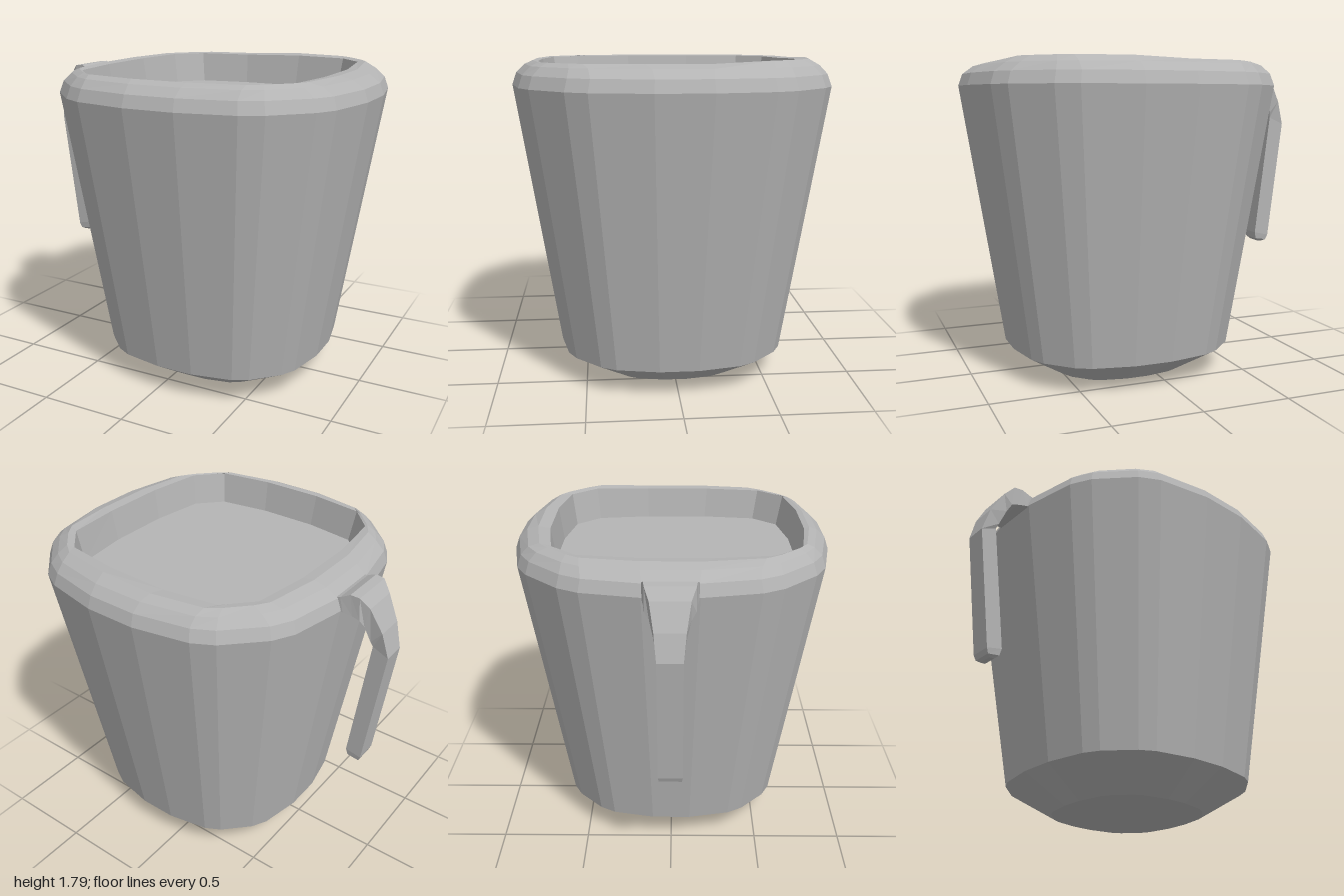
import * as THREE from 'three';

const grey = new THREE.MeshStandardMaterial({ color: 0xb4b4b4, flatShading: true });
grey.name = 'grey';

// Joins equal-sized rings of [x, y, z] points into a closed, faceted skin.
function loft(rings) {
  const n = rings[0].length, last = (rings.length - 1) * n, index = [];
  for (let i = 0; i < rings.length - 1; i++) {
    for (let j = 0; j < n; j++) {
      const a = i * n + j, b = i * n + (j + 1) % n;
      index.push(a, a + n, b, b, a + n, b + n);
    }
  }
  for (let k = 1; k < n - 1; k++) {
    index.push(0, k, k + 1, last, last + k + 1, last + k);
  }
  const indexed = new THREE.BufferGeometry();
  indexed.setAttribute('position', new THREE.Float32BufferAttribute(rings.flat(2), 3));
  indexed.setIndex(index);
  const geometry = indexed.toNonIndexed();
  geometry.computeVertexNormals();
  return geometry;
}

// One quarter of the rounded-square outline, outside and around the opening.
const OUTER = [[1, 0.166], [0.93, 0.52], [0.86, 0.65], [0.65, 0.86], [0.52, 0.93], [0.166, 1]];
const INNER = [[1, 0.27], [0.935, 0.73], [0.87, 0.795], [0.795, 0.87], [0.73, 0.935], [0.27, 1]];

// Full outline at one height; mix blends from the outer to the inner shape.
function ring({ y, sx, sz = sx, mix = 0, z = 0, lift = 0 }) {
  const points = [];
  for (let q = 0; q < 4; q++) {
    OUTER.forEach((o, i) => {
      let px = THREE.MathUtils.lerp(o[0], INNER[i][0], mix);
      let pz = THREE.MathUtils.lerp(o[1], INNER[i][1], mix);
      for (let t = 0; t < q; t++) [px, pz] = [-pz, px];
      // the rim rises slightly at the back left corner
      const raised = px > 0.1 && pz < -0.6 ? lift : 0;
      points.push([0.125 + px * sx, y + raised, z + pz * sz]);
    });
  }
  return points;
}

export function createModel() {
  const model = new THREE.Group();
  model.name = 'mug';

  // Cup: bevelled foot, flared wall, rounded rim and recessed contents
  const cup = new THREE.Mesh(loft([
    { y: 0, sx: 0.4 },
    { y: 0.155, sx: 0.645 },
    { y: 1.65, sx: 0.876 },
    { y: 1.715, sx: 0.853 },
    { y: 1.76, sx: 0.79, sz: 0.805, mix: 0.2 },
    { y: 1.78, sx: 0.72, sz: 0.75, mix: 0.5, z: 0.01, lift: 0.013 },
    { y: 1.775, sx: 0.66, sz: 0.7, mix: 1, z: 0.03, lift: 0.01 },
    { y: 1.6, sx: 0.63, sz: 0.67, mix: 1, z: 0.025 },
  ].map(ring)), grey);
  cup.name = 'cup';
  model.add(cup);

  // Handle: outer x, y, inner x, y and half width along the hook
  const sections = [
    [-0.68, 1.71, -0.7, 1.64, 0.145],
    [-0.74, 1.725, -0.76, 1.645, 0.14],
    [-0.79, 1.75, -0.81, 1.635, 0.13],
    [-0.84, 1.745, -0.85, 1.62, 0.125],
    [-0.89, 1.69, -0.868, 1.58, 0.1],
    [-0.96, 1.56, -0.9, 1.49, 0.078],
    [-1, 1.42, -0.91, 1.46, 0.065],
    [-0.912, 0.71, -0.82, 0.73, 0.065],
    [-0.9, 0.68, -0.83, 0.69, 0.06],
    [-0.88, 0.67, -0.85, 0.672, 0.045],
  ];
  const handle = new THREE.Mesh(loft(sections.map(([ox, oy, ix, iy, w]) => [
    [ox, oy, -w], [ox, oy, w], [ix, iy, w], [ix, iy, -w],
  ])), grey);
  handle.name = 'handle';
  model.add(handle);

  return model;
}
